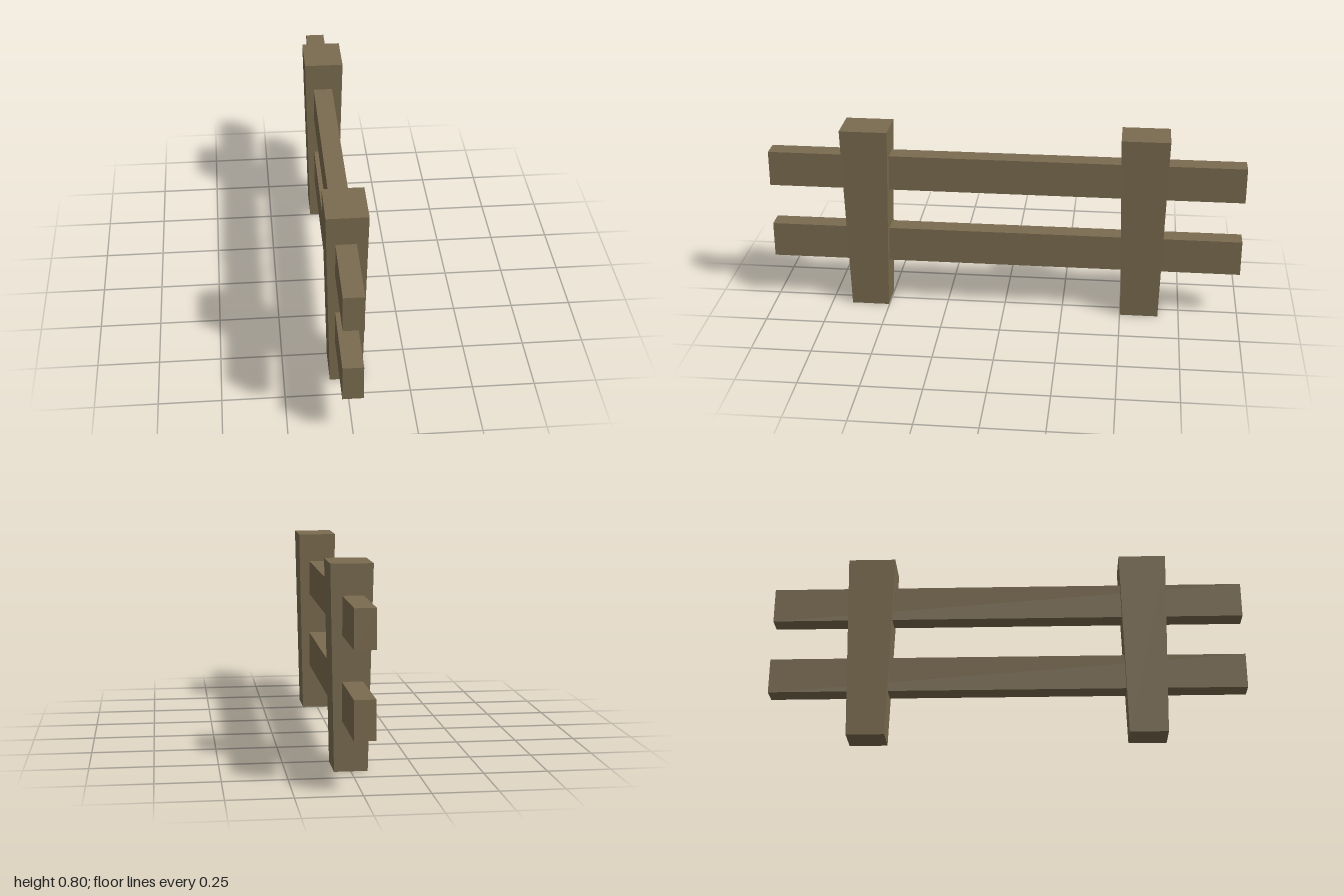
import * as THREE from 'three';

export function createModel() {
  const group = new THREE.Group();
  const wood = new THREE.MeshStandardMaterial({ color: 0x7a6b4f, flatShading: true });

  // Square post that narrows towards the ground
  const height = 0.804;
  const postGeometry = new THREE.BoxGeometry(0.164, height, 0.2);
  postGeometry.translate(0, height / 2, 0);
  const pos = postGeometry.attributes.position;
  for (let i = 0; i < pos.count; i++) {
    const scale = THREE.MathUtils.lerp(0.795, 1, pos.getY(i) / height);
    pos.setX(i, pos.getX(i) * scale);
    pos.setZ(i, pos.getZ(i) * scale);
  }
  postGeometry.computeVertexNormals();

  for (const [name, z] of [['frontPost', 0.582], ['backPost', -0.582]]) {
    const post = new THREE.Mesh(postGeometry, wood);
    post.name = name;
    post.position.z = z;
    group.add(post);
  }

  // Two long rails running through both posts, slightly off centre
  const railGeometry = new THREE.BoxGeometry(0.081, 0.151, 2);
  for (const [name, y] of [['lowerRail', 0.277], ['upperRail', 0.607]]) {
    const rail = new THREE.Mesh(railGeometry, wood);
    rail.name = name;
    rail.position.set(-0.0045, y, 0);
    group.add(rail);
  }

  return group;
}
